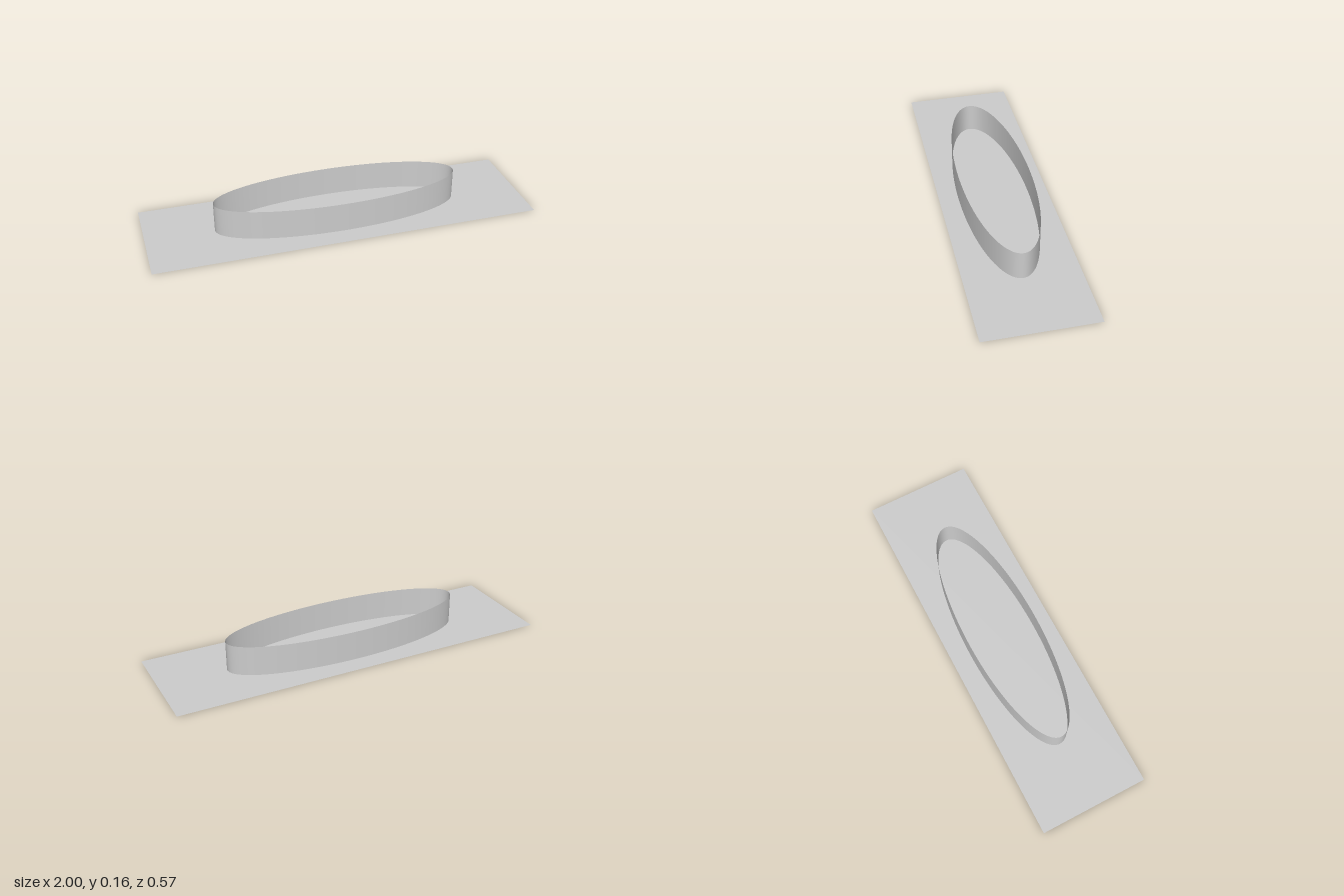
import * as THREE from 'three';

export function createModel() {
  const group = new THREE.Group();
  const material = new THREE.MeshStandardMaterial({ color: 0xcccccc, side: THREE.DoubleSide });

  // Flat rectangular sheet lying on the ground
  const base = new THREE.Mesh(new THREE.PlaneGeometry(2, 0.572).rotateX(-Math.PI / 2), material);
  base.name = 'basePlane';
  group.add(base);

  // Thin open elliptical wall; scaling the geometry keeps its normals correct
  const height = 0.156;
  const wallGeometry = new THREE.CylinderGeometry(1, 1, height, 128, 1, true)
    .scale(0.644, 1, 0.185)
    .translate(0, height / 2, 0);
  const wall = new THREE.Mesh(wallGeometry, material);
  wall.name = 'ellipticalWall';
  group.add(wall);

  return group;
}
